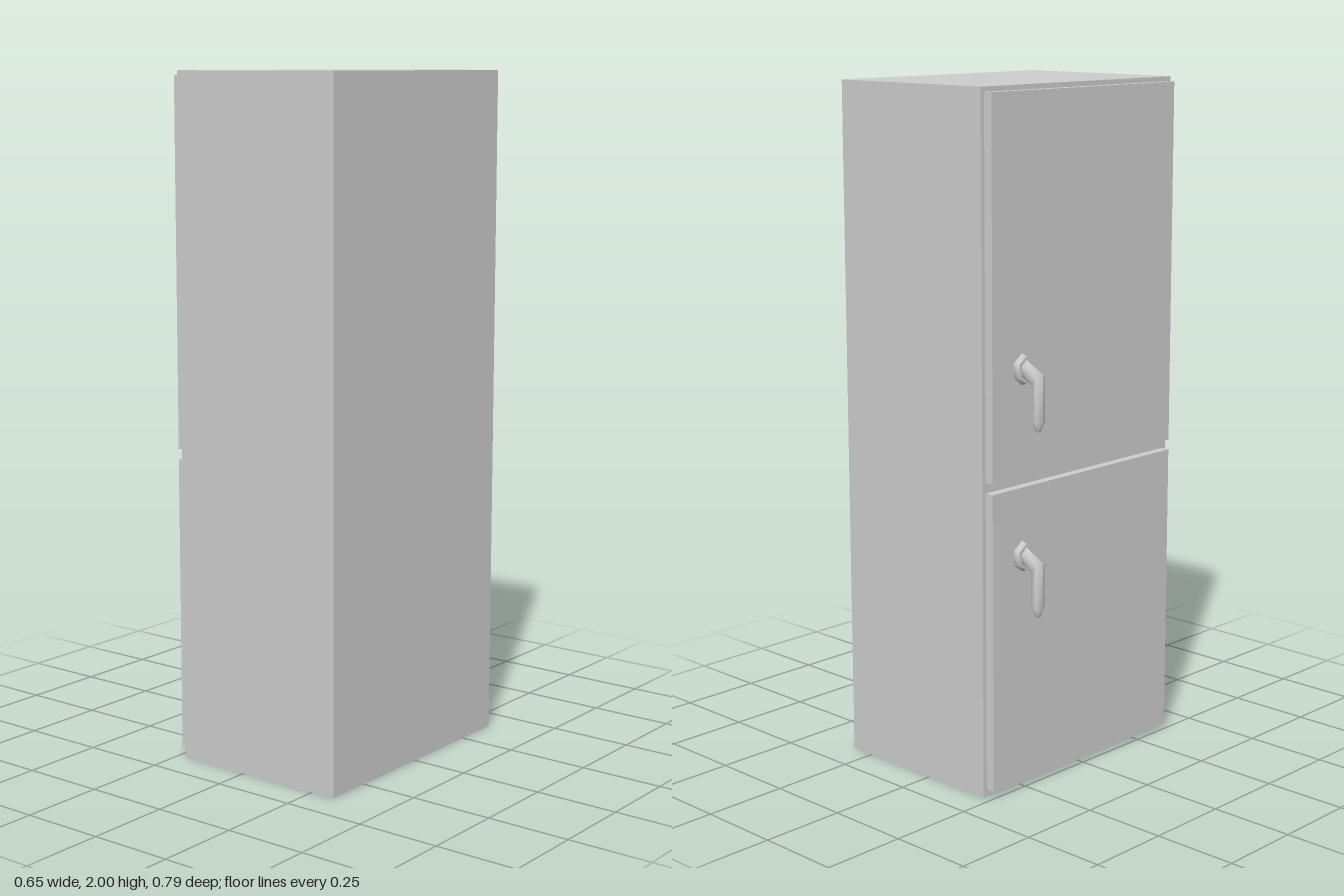
import * as THREE from 'three';

const material = new THREE.MeshStandardMaterial({ color: 0xcccccc, side: THREE.DoubleSide });

const BACK_X = 0.327, FRAME_X = -0.223, DOOR_X = -0.25;
const DOOR_Z = [-0.38, 0.377];
const HANDLE_Z = -0.2625;

function addMesh(parent, name, geometry) {
  const mesh = new THREE.Mesh(geometry, material);
  mesh.name = name;
  parent.add(mesh);
  return mesh;
}

// Box between two corners, leaving out some sides (order: +x -x +y -y +z -z)
function openBox(min, max, openSides) {
  const size = max.map((v, i) => v - min[i]);
  const geometry = new THREE.BoxGeometry(...size);
  const kept = Array.from(geometry.index.array).filter((_, i) => !openSides.includes(Math.floor(i / 6)));
  geometry.setIndex(kept);
  geometry.clearGroups();
  return geometry.translate(...max.map((v, i) => (v + min[i]) / 2));
}

// Six-sided skin over rings [upperX, upperY, lowerX, lowerY, halfWidthZ]
function hexLoft(rings, capOwnEdge) {
  const positions = [], indices = [], sides = 6;
  const addRing = ([ux, uy, lx, ly, halfZ]) => {
    const cx = (ux + lx) / 2, cy = (uy + ly) / 2;
    for (let j = 0; j < sides; j++) {
      const a = (j / sides) * Math.PI * 2;
      positions.push(
        cx + (ux - cx) * Math.cos(a),
        cy + (uy - cy) * Math.cos(a),
        (halfZ * Math.sin(a)) / Math.sin(Math.PI / 3));
    }
  };
  rings.forEach(addRing);
  for (let i = 0; i < rings.length - 1; i++) {
    for (let j = 0; j < sides; j++) {
      const k = (j + 1) % sides;
      const a = i * sides + j, b = i * sides + k;
      indices.push(a, a + sides, b, b, a + sides, b + sides);
    }
  }
  // End cap, with its own vertices where the edge is sharp
  if (capOwnEdge) addRing(rings[rings.length - 1]);
  const start = positions.length / 3 - sides;
  for (let j = 1; j < sides - 1; j++) indices.push(start, start + j + 1, start + j);
  const geometry = new THREE.BufferGeometry();
  geometry.setAttribute('position', new THREE.Float32BufferAttribute(positions, 3));
  geometry.setIndex(indices);
  geometry.computeVertexNormals();
  return geometry;
}

function rectangle(path, z0, y0, z1, y1) {
  path.moveTo(z0, y0);
  path.lineTo(z1, y0);
  path.lineTo(z1, y1);
  path.lineTo(z0, y1);
  path.closePath();
  return path;
}

// Lever handle on its mounting plate, y measured from the plate centre
function createHandle(name) {
  const handle = new THREE.Group();
  handle.name = name;
  addMesh(handle, 'handlePlate', hexLoft([
    [DOOR_X, 0.045, DOOR_X, -0.045, 0.032],
    [-0.267, 0.038, -0.267, -0.038, 0.029],
  ], true));
  addMesh(handle, 'handleLever', hexLoft([
    [-0.265, 0.029, -0.265, -0.03, 0.0177],
    [-0.327, -0.004, -0.296, -0.044, 0.0177],
    [-0.327, -0.141, -0.296, -0.141, 0.0177],
    [-0.317, -0.167, -0.307, -0.167, 0.006],
  ], false));
  return handle;
}

export function createModel() {
  const model = new THREE.Group();
  model.name = 'twoDoorCabinet';

  // Hollow shell, open underneath and on the door side
  addMesh(model, 'cabinetShell', openBox([FRAME_X, 0, -0.393], [BACK_X, 2, 0.393], [1, 3]));

  const doors = [
    { name: 'lower', y: [0.022, 0.892], handleY: 0.694 },
    { name: 'upper', y: [0.922, 1.986], handleY: 1.228 },
  ];

  // Face frame around the door openings
  const frame = rectangle(new THREE.Shape(), -0.393, 0, 0.393, 2);
  for (const { y } of doors) {
    frame.holes.push(rectangle(new THREE.Path(), DOOR_Z[0], y[0], DOOR_Z[1], y[1]));
  }
  const frameGeometry = new THREE.ShapeGeometry(frame).rotateY(-Math.PI / 2).translate(FRAME_X, 0, 0);
  addMesh(model, 'doorFrame', frameGeometry);

  // Raised doors, hollow behind, each with a handle
  for (const { name, y, handleY } of doors) {
    addMesh(model, `${name}Door`,
      openBox([DOOR_X, y[0], DOOR_Z[0]], [FRAME_X, y[1], DOOR_Z[1]], [0]));
    const handle = createHandle(`${name}Handle`);
    handle.position.set(0, handleY, HANDLE_Z);
    model.add(handle);
  }
  return model;
}
